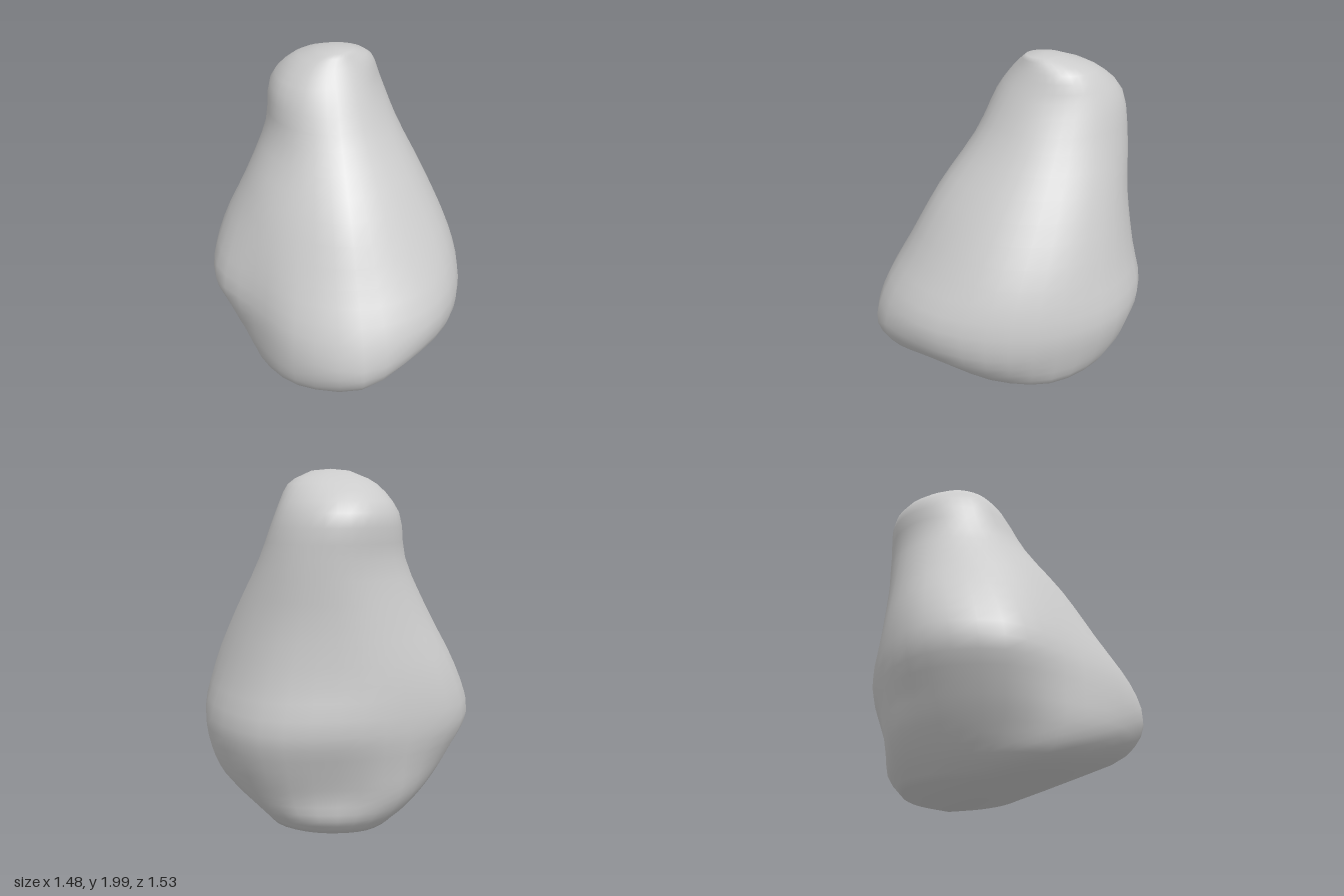
import * as THREE from 'three';

// Horizontal slices: height, z of the slice centre, then radii every 30 degrees from +x towards +z
const slices = [
  [0.10, -0.25, 0.38, 0.34, 0.32, 0.33, 0.36, 0.36, 0.33, 0.32, 0.32, 0.31, 0.33, 0.37],
  [0.20, -0.12, 0.46, 0.42, 0.42, 0.48, 0.58, 0.56, 0.48, 0.48, 0.52, 0.52, 0.54, 0.52],
  [0.33, -0.05, 0.66, 0.60, 0.56, 0.70, 0.68, 0.60, 0.57, 0.60, 0.65, 0.60, 0.66, 0.66],
  [0.50, -0.05, 0.72, 0.72, 0.73, 0.81, 0.71, 0.62, 0.66, 0.69, 0.68, 0.65, 0.73, 0.74],
  [0.70, -0.05, 0.74, 0.74, 0.76, 0.76, 0.68, 0.62, 0.73, 0.77, 0.71, 0.71, 0.78, 0.77],
  [0.95, -0.10, 0.68, 0.68, 0.66, 0.65, 0.60, 0.58, 0.65, 0.70, 0.65, 0.63, 0.68, 0.68],
  [1.25, -0.20, 0.55, 0.55, 0.55, 0.57, 0.52, 0.50, 0.50, 0.52, 0.51, 0.51, 0.54, 0.55],
  [1.55, -0.30, 0.40, 0.40, 0.41, 0.43, 0.41, 0.37, 0.36, 0.37, 0.38, 0.41, 0.43, 0.42],
  [1.78, -0.35, 0.31, 0.30, 0.32, 0.34, 0.35, 0.34, 0.32, 0.33, 0.34, 0.35, 0.34, 0.33],
  [1.92, -0.33, 0.25, 0.24, 0.23, 0.23, 0.23, 0.22, 0.21, 0.20, 0.20, 0.20, 0.22, 0.24],
];
const bottom = new THREE.Vector3(-0.03, 0.01, -0.31);
const top = new THREE.Vector3(0.03, 2, -0.24);
const AROUND = 36, UP = 3;

// Smooth closed outline of one slice
function outline([y, cz, ...radii]) {
  const corners = radii.map((r, i) => {
    const a = (i / radii.length) * Math.PI * 2;
    return new THREE.Vector3(r * Math.cos(a), y, cz + r * Math.sin(a));
  });
  const curve = new THREE.CatmullRomCurve3(corners, true);
  return Array.from({ length: AROUND }, (_, i) => curve.getPoint(i / AROUND));
}

// Skin the slices with smooth lines running from the base to the tip
function stoneGeometry() {
  const loops = slices.map(outline);
  // small flat crown
  loops.push(Array.from({ length: AROUND }, (_, i) => {
    const a = (i / AROUND) * Math.PI * 2;
    return new THREE.Vector3(top.x + 0.1 * Math.cos(a), 1.99, top.z + 0.1 * Math.sin(a));
  }));
  const rows = (loops.length - 1) * UP + 1;
  const positions = [], index = [];
  for (let i = 0; i < AROUND; i++) {
    const line = new THREE.CatmullRomCurve3(loops.map((loop) => loop[i]));
    for (let j = 0; j < rows; j++) positions.push(...line.getPoint(j / (rows - 1)).toArray());
  }
  const low = AROUND * rows, high = low + 1;
  positions.push(...bottom.toArray(), ...top.toArray());
  for (let i = 0; i < AROUND; i++) {
    const a = i * rows, b = ((i + 1) % AROUND) * rows;
    for (let j = 0; j < rows - 1; j++) {
      index.push(a + j, a + j + 1, b + j, b + j, a + j + 1, b + j + 1);
    }
    index.push(low, a, b, high, b + rows - 1, a + rows - 1);
  }
  const geometry = new THREE.BufferGeometry();
  geometry.setAttribute('position', new THREE.Float32BufferAttribute(positions, 3));
  geometry.setIndex(index);
  geometry.computeVertexNormals();
  return geometry;
}

export function createModel() {
  const group = new THREE.Group();
  group.name = 'rock';
  const stone = new THREE.Mesh(stoneGeometry(), new THREE.MeshStandardMaterial({ color: 0xcccccc }));
  stone.name = 'stone';
  group.add(stone);
  return group;
}
